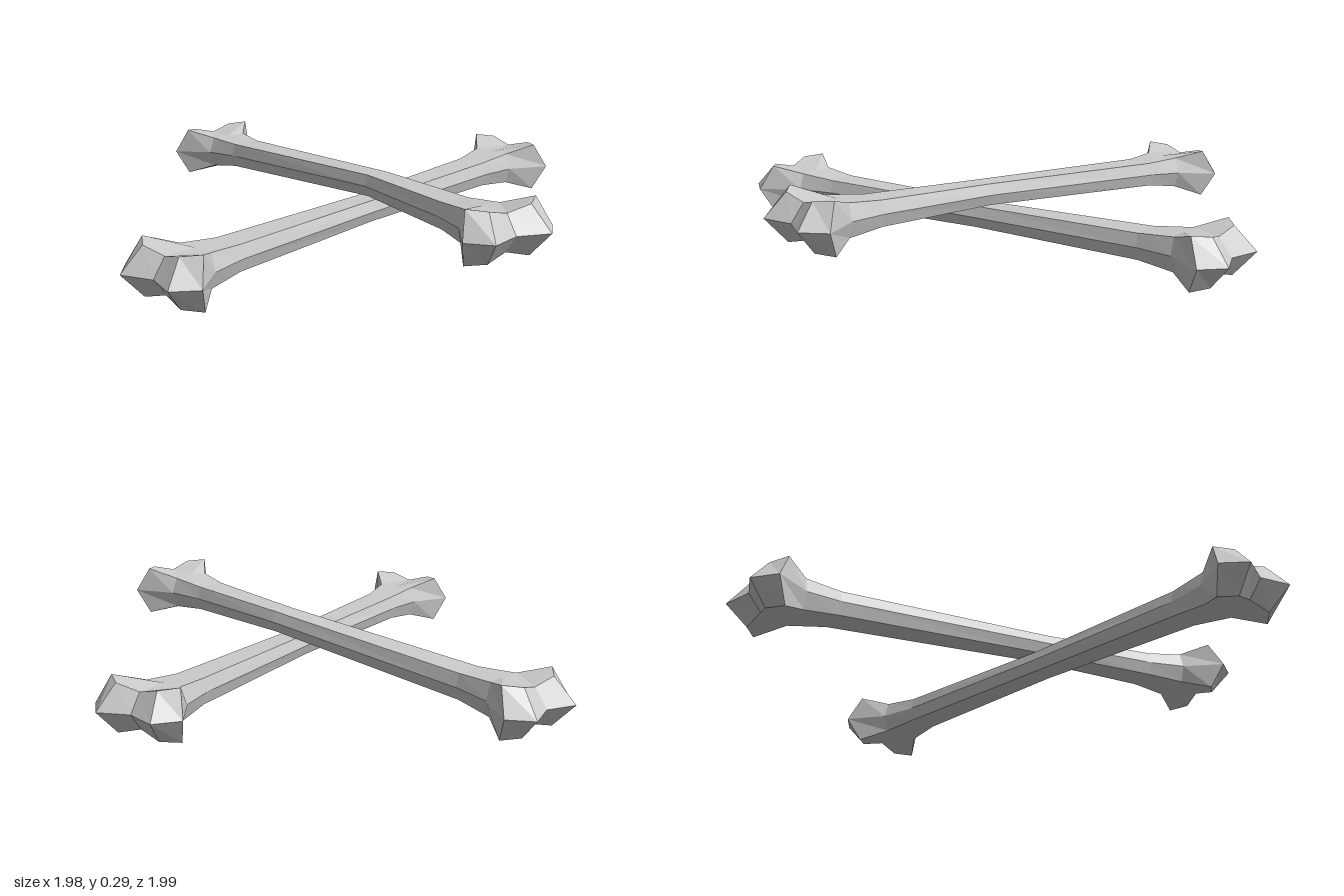
import * as THREE from 'three';

const V = (x, y, z) => new THREE.Vector3(x, y, z);

// Shaft rings for one half: distance, half width, ridge offset, half height
const RINGS = [
  [0, 0.055, 0.041, 0.038],
  [0.65, 0.067, 0.053, 0.045],
  [0.785, 0.09, 0.07, 0.058],
];

// One eighth of a bone as quads and triangles; the rest comes from mirroring
function octantFaces() {
  const rows = RINGS.map(([z, w, a, h]) => [V(w, 0, z), V(a, h, z), V(0, h, z)]);
  // flared knuckle rim
  const rim = [V(0.175, 0, 0.915), V(0.138, 0.09, 0.875), V(0, 0.062, 0.905)];
  rows.push(rim);
  const faces = [];
  for (let r = 0; r < rows.length - 1; r++)
    for (let i = 0; i < 2; i++)
      faces.push([rows[r][i], rows[r][i + 1], rows[r + 1][i + 1], rows[r + 1][i]]);
  // knuckle end with a notch between the two lobes
  const inner = V(0.082, 0.083, 0.92), tip = V(0.108, 0, 0.99), notch = V(0, 0, 0.952);
  faces.push([rim[0], rim[1], inner, tip], [tip, inner, rim[2], notch], [rim[1], rim[2], inner]);
  return faces;
}

// Whole bone along z; mid is where the two halves meet, bend moves each point
function boneGeometry(mid, bend) {
  const pos = [];
  const faces = octantFaces();
  for (const sx of [1, -1]) for (const sy of [1, -1]) for (const sz of [1, -1]) {
    for (const face of faces) {
      const pts = face.map((p) => bend(V(p.x * sx, p.y * sy, p.z === 0 ? mid : p.z * sz)));
      if (sx * sy * sz < 0) pts.reverse();
      for (let i = 1; i < pts.length - 1; i++)
        for (const p of [pts[0], pts[i], pts[i + 1]]) pos.push(p.x, p.y, p.z);
    }
  }
  const geo = new THREE.BufferGeometry();
  geo.setAttribute('position', new THREE.Float32BufferAttribute(pos, 3));
  geo.computeVertexNormals();
  return geo;
}

export function createModel() {
  const group = new THREE.Group();
  group.name = 'crossedBones';
  const mat = new THREE.MeshStandardMaterial({ color: 0xcccccc, flatShading: true });

  // lower bone, straight and lying flat
  const lower = new THREE.Mesh(boneGeometry(0, (p) => p), mat);
  lower.name = 'lowerBone';
  lower.scale.z = 1.012;
  lower.rotation.y = 1.854;
  lower.position.set(0, 0.096, 0.173);
  group.add(lower);

  // upper bone, bent over the crossing so its back end drops to the ground
  const KNEE = 0.2;
  const upper = new THREE.Mesh(boneGeometry(KNEE, (p) => {
    const d = p.z - KNEE;
    if (d < -0.001) return V(p.x + 0.076 * d, p.y + 0.075 * d, p.z - 0.06 * p.x);
    return V(p.x - 0.012 * d, p.y + 0.022 * d, p.z + 0.01 * p.x);
  }), mat);
  upper.name = 'upperBone';
  upper.position.set(0.041, 0.187, 0);
  group.add(upper);
  return group;
}
